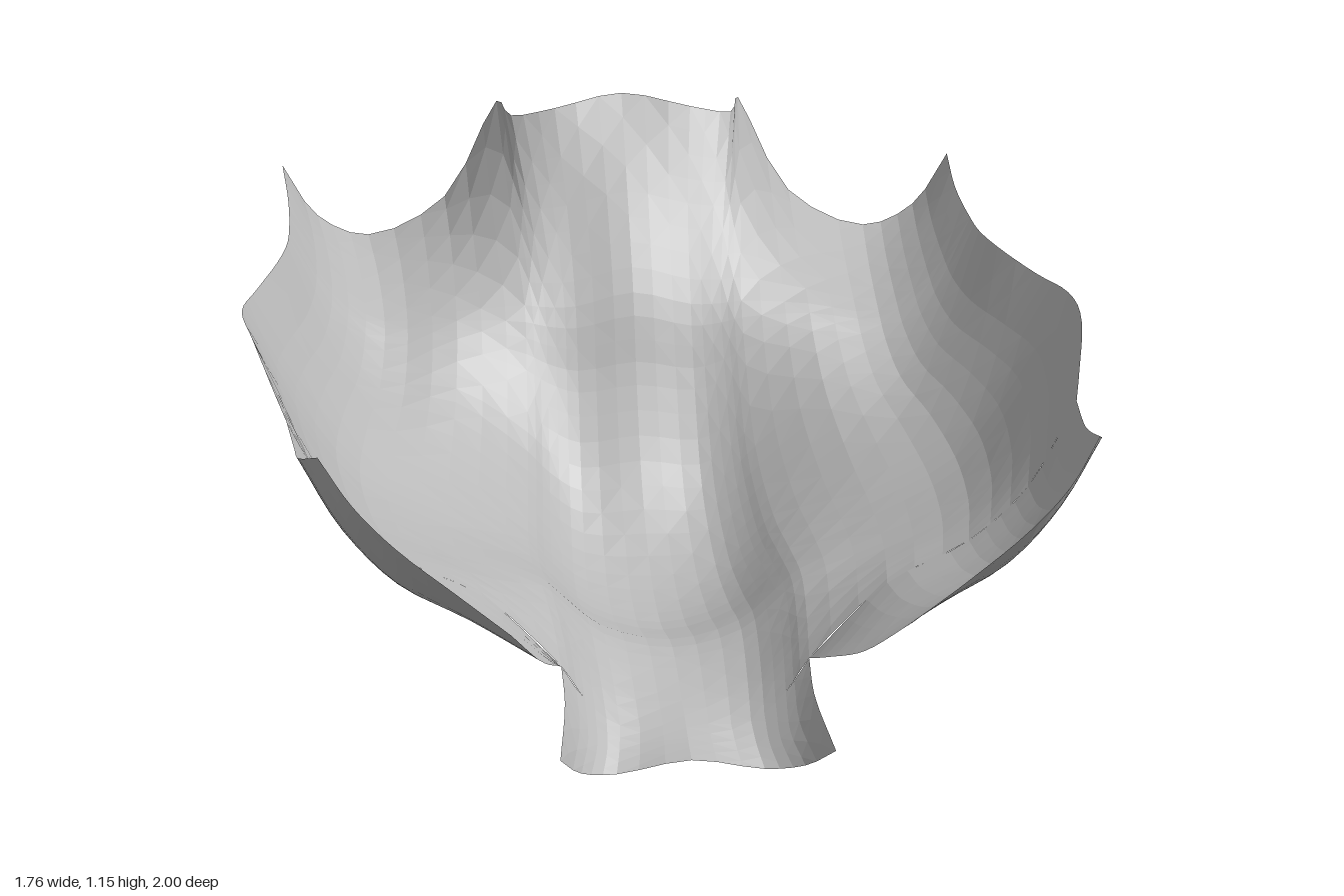
import * as THREE from 'three';

const V = (x, y, z) => new THREE.Vector3(x, y, z);

// Column positions from the centre line to the outer edge, as fractions of half the width
const COLS = [0, 0.17, 0.26, 0.32, 0.52, 0.73, 0.88, 1];

// Points of one half cross-section; z may be one number or one per column
const section = (z, x0, x1, ys, cols) =>
  ys.map((y, i) => V(x0 + (x1 - x0) * cols[i], y, Array.isArray(z) ? z[i] : z));

const flip = (pts) => pts.map((p) => V(-p.x, p.y, p.z)).reverse();
const mirrored = (pts) => [...flip(pts.slice(1)), ...pts];

// Smooth curve through points, sampled evenly between each pair
function sample(pts, n) {
  const curve = new THREE.CatmullRomCurve3(pts);
  const count = (pts.length - 1) * n;
  return Array.from({ length: count + 1 }, (_, i) => curve.getPoint(i / count));
}

// Cloth sheet lofted through cross-sections that run from back to front
function sheet(name, rows, material, across, along) {
  const fine = rows.map((r) => sample(r, across));
  const w = fine[0].length;
  const columns = fine[0].map((_, i) => sample(fine.map((r) => r[i]), along));
  const h = columns[0].length;
  const pos = [], index = [];
  for (let j = 0; j < h; j++) {
    for (let i = 0; i < w; i++) {
      pos.push(...columns[i][j].toArray());
      if (i + 1 < w && j + 1 < h) {
        const a = j * w + i, b = a + 1, c = a + w, d = c + 1;
        if ((i + j) % 2) index.push(a, c, b, b, c, d);
        else index.push(a, c, d, a, d, b);
      }
    }
  }
  const geo = new THREE.BufferGeometry();
  geo.setAttribute('position', new THREE.Float32BufferAttribute(pos, 3));
  geo.setIndex(index);
  geo.computeVertexNormals();
  const mesh = new THREE.Mesh(geo, material);
  mesh.name = name;
  return mesh;
}

export function createModel() {
  const group = new THREE.Group();
  group.name = 'drapedSheet';
  const cloth = new THREE.MeshStandardMaterial({
    color: 0xb8b8b8, side: THREE.DoubleSide, flatShading: true,
  });
  cloth.name = 'paleGrey';

  // Main bowl: notched back edge, steep rise behind, rounded hollow in the middle
  const backCols = [0, 0.2, 0.325, 0.362, 0.52, 0.75, 0.9, 1];
  const backZ = [-0.885, -0.86, -0.89, -0.985, -0.998, -1, -0.995, -0.98];
  const body = [
    section(backZ, 0, 0.8, [1.15, 1.12, 1.1, 1.12, 0.89, 0.8, 0.85, 0.975], backCols),
    section([-0.74, -0.74, -0.75, -0.78, -0.8, -0.8, -0.8, -0.8], 0, 0.787,
      [0.94, 0.91, 0.9, 0.9, 0.8, 0.745, 0.81, 0.925],
      [0, 0.18, 0.29, 0.345, 0.52, 0.74, 0.89, 1]),
    section(-0.6, 0, 0.785, [0.73, 0.7, 0.7, 0.705, 0.695, 0.675, 0.755, 0.89], COLS),
    section(-0.52, 0, 0.79, [0.53, 0.515, 0.54, 0.57, 0.625, 0.625, 0.72, 0.875], COLS),
    section(-0.4, 0, 0.81, [0.325, 0.315, 0.36, 0.41, 0.53, 0.565, 0.685, 0.86], COLS),
    section(-0.2, 0, 0.855, [0.17, 0.19, 0.25, 0.305, 0.43, 0.525, 0.67, 0.84], COLS),
    section(0, 0, 0.882, [0.125, 0.165, 0.235, 0.285, 0.38, 0.48, 0.655, 0.84], COLS),
    section(0.25, 0, 0.855, [0.15, 0.185, 0.25, 0.295, 0.365, 0.455, 0.615, 0.83], COLS),
    section(0.41, 0, 0.815, [0.105, 0.125, 0.195, 0.255, 0.365, 0.445, 0.575, 0.765], COLS),
    section(0.5, 0, 0.79, [0.07, 0.07, 0.13, 0.2, 0.355, 0.44, 0.55, 0.725], COLS),
  ];
  group.add(sheet('mainSheet', body.map(mirrored), cloth, 3, 4));

  // Two forward flaps, rising to a scooped front edge
  const front = body[body.length - 1];
  const flapCols = COLS.slice(3).map((c) => (c - 0.32) / 0.68);
  const flap = [
    front.slice(3),
    section(0.65, 0.27, 0.775, [0.252, 0.365, 0.445, 0.55, 0.71], flapCols),
    section(0.82, 0.315, 0.765, [0.32, 0.405, 0.485, 0.595, 0.735], flapCols),
    section([0.96, 0.998, 1, 0.99, 0.95], 0.38, 0.73,
      [0.42, 0.515, 0.605, 0.685, 0.77], flapCols),
  ];
  group.add(sheet('leftFlap', flap, cloth, 4, 5));
  group.add(sheet('rightFlap', flap.map(flip), cloth, 4, 5));

  // Small tongue between the flaps, with its corners curling forward and up
  const tongue = [
    front.slice(0, 4),
    [V(0, 0.048, 0.555), V(0.14, 0.035, 0.55), V(0.205, 0.07, 0.575), V(0.252, 0.15, 0.58)],
    [V(0, 0.03, 0.61), V(0.15, 0.002, 0.6), V(0.225, 0.025, 0.65), V(0.273, 0.085, 0.735)],
  ];
  group.add(sheet('tongue', tongue.map(mirrored), cloth, 3, 4));

  return group;
}
